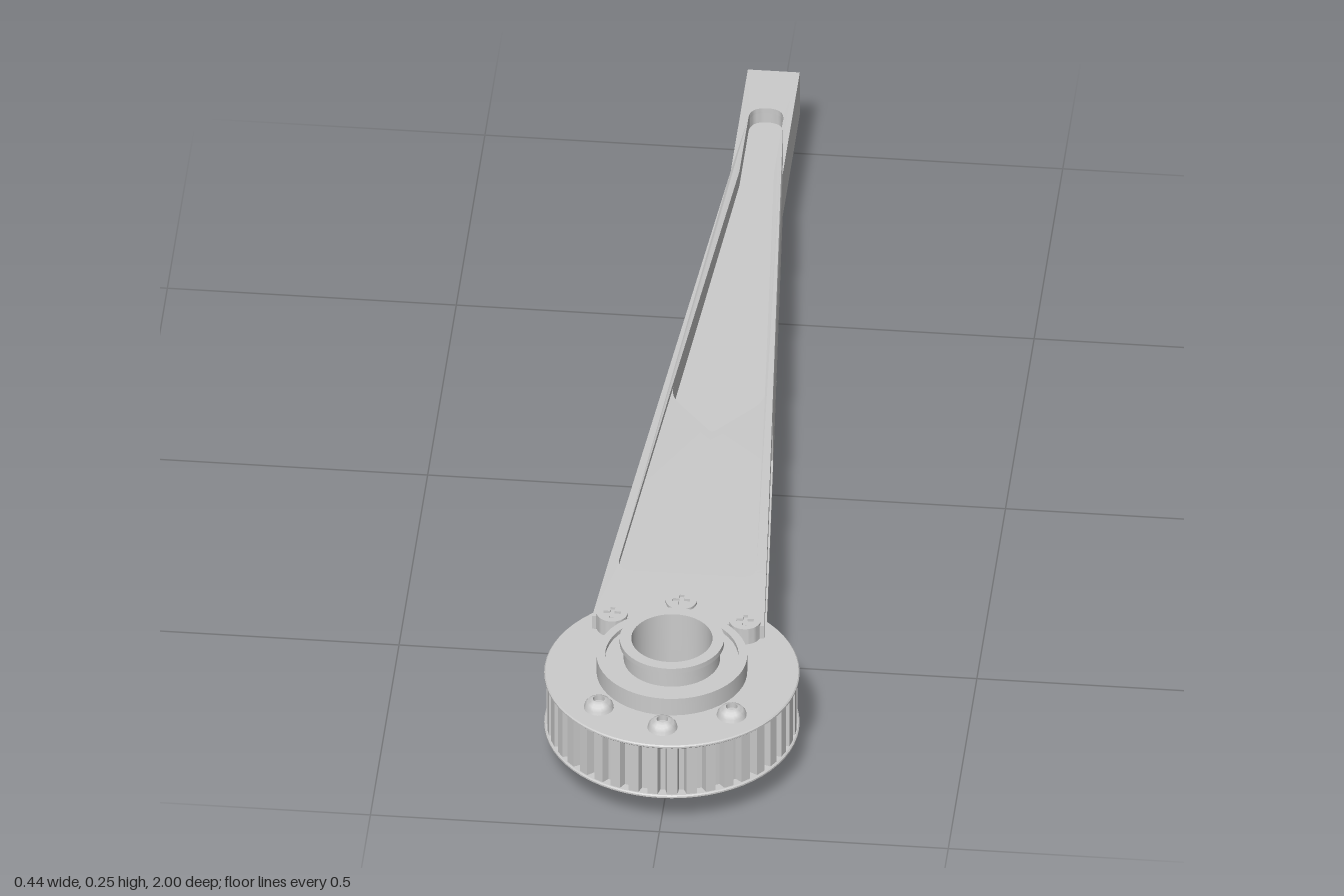
import * as THREE from 'three';
import { toCreasedNormals } from 'three/addons/utils/BufferGeometryUtils.js';

const MID = 0.1275;      // mid height of the arm
const HUB_Z = 0.78;      // wheel axis
const SLOT = 0.0525;     // half height of the fork slot
const POCKET = 0.01;     // depth of the shallow pocket
const FORK_END = 0.67;   // front edge of the fork plates

const lerp = THREE.MathUtils.lerp;
const width = z => 0.045 + 0.1 * Math.max(0, z + 0.7) / 1.32;
const inner = z => width(z) - 0.015;
const half = z => lerp(0.045, 0.0825, THREE.MathUtils.clamp((z + 0.7) / 1.2, 0, 1));
const floorY = z => half(z) - POCKET;

// Closed outline from [x, z, cornerRadius] points
function outline(points, Type = THREE.Shape) {
  const s = new Type();
  const n = points.length;
  points.forEach(([x, z, r = 0], i) => {
    const p = new THREE.Vector2(x, -z);
    const toward = q => {
      const d = new THREE.Vector2(q[0], -q[1]).sub(p);
      return d.setLength(Math.min(r, d.length())).add(p);
    };
    const a = toward(points[(i + n - 1) % n]);
    const b = toward(points[(i + 1) % n]);
    if (i === 0) s.moveTo(a.x, a.y); else s.lineTo(a.x, a.y);
    if (r) s.quadraticCurveTo(p.x, p.y, b.x, b.y);
  });
  s.closePath();
  return s;
}

// Holes run the opposite way round to the outer outline
const hole = points => outline([...points].reverse(), THREE.Path);

// Mirrors a chain across x = 0 into a closed loop
const mirrored = chain => [
  ...chain,
  ...chain.filter(p => p[0] !== 0).reverse().map(([x, z, r]) => [-x, z, r]),
];

// Upright slab whose lower and upper heights follow rules of z
function slab(shape, low, high) {
  const g = new THREE.ExtrudeGeometry(shape, { depth: 1, bevelEnabled: false, curveSegments: 8 });
  g.rotateX(-Math.PI / 2);
  const p = g.attributes.position;
  for (let i = 0; i < p.count; i++) {
    const z = p.getZ(i);
    p.setY(i, MID + lerp(low(z), high(z), p.getY(i)));
  }
  return toCreasedNormals(g, 0.5);
}

const lathe = (points, segments = 48) => toCreasedNormals(
  new THREE.LatheGeometry(points.map(p => new THREE.Vector2(...p)), segments), 0.5);

export function createModel() {
  const model = new THREE.Group();
  const material = new THREE.MeshStandardMaterial({ color: 0xcccccc });
  const add = (name, geometry, x = 0, y = 0, z = 0) => {
    const mesh = new THREE.Mesh(geometry, material);
    mesh.name = name;
    mesh.position.set(x, y, z);
    model.add(mesh);
    return mesh;
  };

  // Concave fork end that wraps the hub
  const arc = [];
  const sweep = Math.acos((HUB_Z - FORK_END) / 0.135);
  for (let i = 0; i <= 10; i++) {
    const a = sweep * (1 - i / 10);
    arc.push([0.135 * Math.sin(a), HUB_Z - 0.135 * Math.cos(a)]);
  }
  const forkEnd = [[width(0.5), 0.5], [width(FORK_END), FORK_END], ...arc];
  const tail = [[0.045, -1], [0.045, -0.7]];
  const pocketTail = [[0.03, -0.89, 0.03], [inner(-0.7), -0.7]];

  // Solid rear half of the arm with its deep pocket and pointed front wall
  const body = outline(mirrored([...tail, [width(0), 0], [0, 0.105]]));
  const deep = mirrored([...pocketTail, [inner(-0.02), -0.02, 0.03], [0, 0.085, 0.012]]);
  body.holes.push(hole(deep));
  add('armBody', slab(body, z => -floorY(z), floorY));
  add('armWeb', slab(outline(deep), () => -0.015, () => 0.015));

  // Fork plates and raised rims, above and below
  const plate = outline(mirrored([[0, 0.105], [width(0), 0], ...forkEnd]));
  const rim = outline(mirrored([...tail, [width(0), 0], ...forkEnd]));
  rim.holes.push(hole(mirrored([
    ...pocketTail, [inner(-0.02), -0.02], [inner(0.5), 0.53, 0.03], [0, 0.53],
  ])));
  add('upperForkPlate', slab(plate, () => SLOT, floorY));
  add('lowerForkPlate', slab(plate, z => -floorY(z), () => -SLOT));
  add('upperRim', slab(rim, floorY, half));
  add('lowerRim', slab(rim, z => -half(z), z => -floorY(z)));

  // Toothed wheel
  const teeth = [];
  const count = 40;
  for (let i = 0; i < count; i++) {
    for (const [f, r] of [[0, 0.202], [0.28, 0.202], [0.38, 0.216], [0.9, 0.216]]) {
      const a = (i + f) / count * Math.PI * 2;
      teeth.push([r * Math.sin(a), r * Math.cos(a)]);
    }
  }
  const wheel = outline(teeth);
  wheel.holes.push(new THREE.Path().absarc(0, 0, 0.12, 0, Math.PI * 2));
  add('toothedWheel', slab(wheel, () => -0.053, () => 0.053), 0, 0, HUB_Z);
  for (const [name, y] of [['lowerFlange', 0.07], ['upperFlange', 0.176]]) {
    add(name, lathe([[0.12, 0], [0.218, 0], [0.22, 0.002], [0.22, 0.005],
      [0.218, 0.007], [0.12, 0.007], [0.12, 0]], 64), 0, y, HUB_Z);
  }

  // Hub with bearing grooves, collar and bore
  add('hub', lathe([
    [0.014, 0.018], [0.078, 0.018], [0.083, 0.023], [0.083, 0.045], [0.115, 0.045],
    [0.115, 0.037], [0.13, 0.037], [0.13, 0.218], [0.115, 0.218], [0.115, 0.21],
    [0.083, 0.21], [0.083, 0.243], [0.09, 0.243], [0.09, 0.253], [0.07, 0.253],
    [0.07, 0.03], [0.014, 0.03], [0.014, 0.018],
  ]), 0, 0, HUB_Z);

  // Domed screws on the front of the wheel, flat cross-head screws on the fork
  const dome = lathe([[0.026, 0], [0.0245, 0.006], [0.02, 0.012], [0.015, 0.0155],
    [0.01, 0.0175], [0.01, 0.008], [0, 0.008]], 24);
  const head = new THREE.Shape().absarc(0, 0, 0.027, 0, Math.PI * 2);
  head.holes.push(hole(mirrored([[0.004, -0.015], [0.004, -0.004], [0.015, -0.004],
    [0.015, 0.004], [0.004, 0.004], [0.004, 0.015]])));
  const flat = new THREE.ExtrudeGeometry(head, { depth: 0.032, bevelEnabled: false, curveSegments: 24 });
  flat.rotateX(-Math.PI / 2);
  const crossHead = toCreasedNormals(flat, 0.5);
  for (const side of [1, -1]) {
    for (const x of [-0.115, 0, 0.115]) {
      const dz = x ? 0.117 : 0.165;
      const front = add('domedScrew', dome, x, MID + side * 0.0555, HUB_Z + dz);
      const rear = add('forkScrew', crossHead, x, MID + side * 0.0555, HUB_Z - dz);
      if (side < 0) front.rotation.x = rear.rotation.x = Math.PI;
    }
  }

  // Three bolts under the hub
  const bolt = lathe([[0, 0.008], [0.011, 0.008], [0.011, 0], [0.025, 0], [0.027, 0.002],
    [0.026, 0.005], [0.016, 0.015], [0.016, 0.02], [0.012, 0.02], [0.012, 0.045], [0, 0.045]], 24);
  for (let i = 0; i < 3; i++) {
    const a = Math.PI + i * Math.PI * 2 / 3;
    add('hubBolt', bolt, 0.048 * Math.cos(a), 0, HUB_Z + 0.048 * Math.sin(a));
  }
  return model;
}
